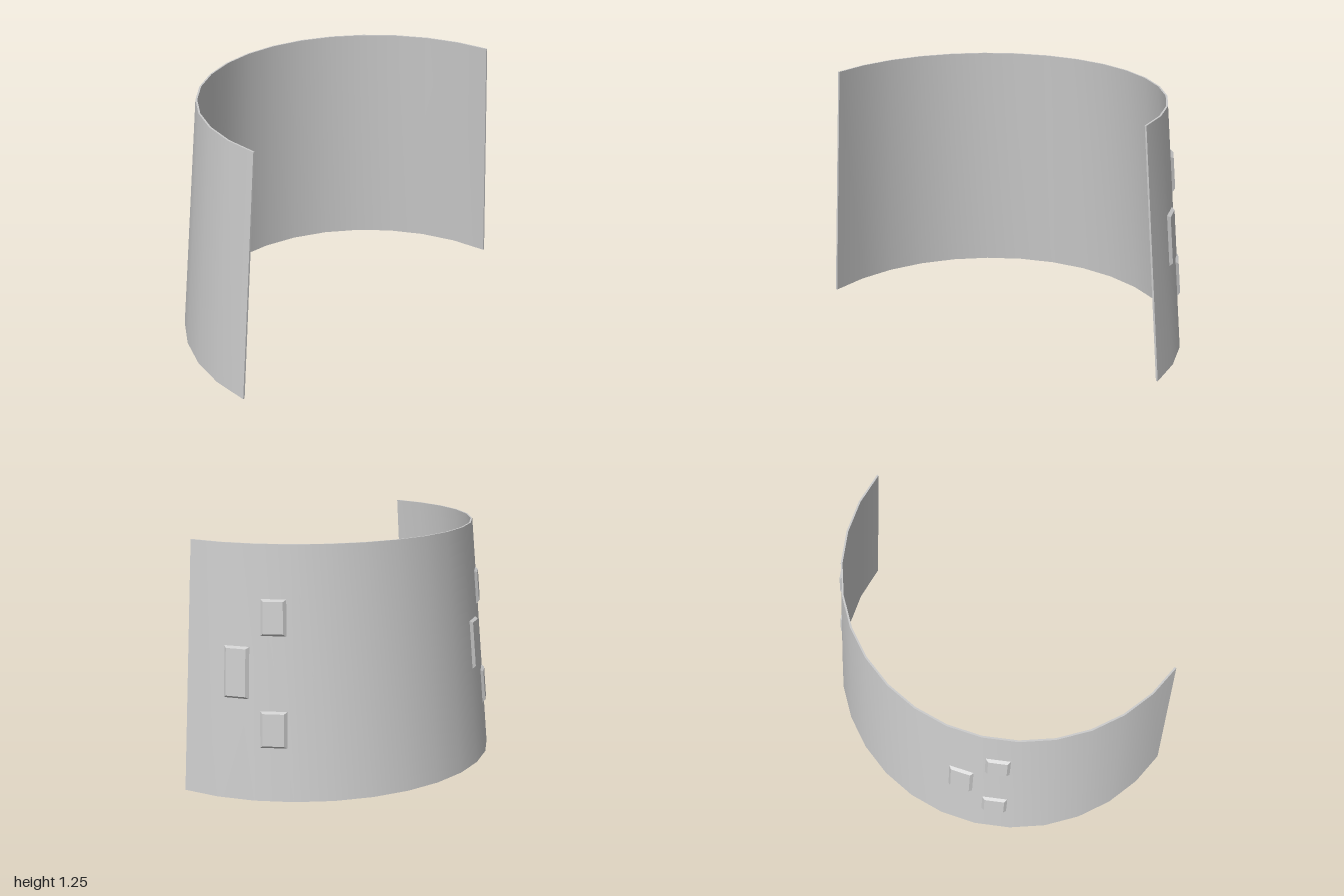
import * as THREE from 'three';
import { toCreasedNormals } from 'three/addons/utils/BufferGeometryUtils.js';

const HEIGHT = 1.25, WALL = 0.01, SIDES = 16, CENTRE_Z = 0.5;
const STEP = Math.PI / SIDES;
const taper = (y) => 1 - 0.08 * y;

const material = new THREE.MeshStandardMaterial({ color: 0xcccccc });

// Half-round thin wall that narrows toward the top
function createWall() {
  const outer = [], inner = [];
  for (let i = 0; i <= SIDES; i++) {
    const c = Math.cos(i * STEP), s = Math.sin(i * STEP);
    outer.push(new THREE.Vector2(c, s));
    inner.unshift(new THREE.Vector2(c * (1 - WALL), s * (1 - WALL)));
  }
  const shape = new THREE.Shape([...outer, ...inner]);
  const geo = new THREE.ExtrudeGeometry(shape, { depth: HEIGHT, bevelEnabled: false });
  geo.rotateX(-Math.PI / 2);
  const p = geo.attributes.position;
  for (let i = 0; i < p.count; i++) {
    const k = taper(p.getY(i));
    p.setX(i, p.getX(i) * k);
    p.setZ(i, p.getZ(i) * k);
  }
  const wall = new THREE.Mesh(toCreasedNormals(geo, Math.PI / 8), material);
  wall.name = 'curvedWall';
  return wall;
}

// Raised brick with sloped edges, its base sunk slightly into the wall
function createBrick(width, height) {
  const raise = 0.015, sink = 0.003;
  const geo = new THREE.BoxGeometry(width, height, raise + sink);
  geo.translate(0, 0, (raise - sink) / 2);
  const p = geo.attributes.position;
  for (let i = 0; i < p.count; i++) {
    if (p.getZ(i) < 0) continue;
    p.setX(i, p.getX(i) - Math.sign(p.getX(i)) * 0.017);
    p.setY(i, p.getY(i) - Math.sign(p.getY(i)) * 0.013);
  }
  geo.computeVertexNormals();
  return new THREE.Mesh(geo, material);
}

// Three bricks, each centred on one flat of the wall
function createBrickCluster(firstSide) {
  const cluster = new THREE.Group();
  const bricks = [
    { name: 'upperBrick', side: 2, y: 0.9, w: 0.131, h: 0.182 },
    { name: 'middleBrick', side: 1, y: 0.628, w: 0.136, h: 0.26 },
    { name: 'lowerBrick', side: 2, y: 0.355, w: 0.139, h: 0.185 },
  ];
  for (const { name, side, y, w, h } of bricks) {
    const angle = (firstSide + side + 0.5) * STEP;
    const r = Math.cos(STEP / 2) * taper(y);
    const brick = createBrick(w, h);
    brick.name = name;
    brick.position.set(r * Math.cos(angle), y, -r * Math.sin(angle));
    brick.rotation.set(-Math.atan(0.08), angle + Math.PI / 2, 0, 'YXZ');
    cluster.add(brick);
  }
  return cluster;
}

export function createModel() {
  const model = new THREE.Group();
  model.name = 'curvedBrickWall';
  const body = new THREE.Group();
  body.name = 'wallBody';
  body.position.z = CENTRE_Z;
  body.add(createWall());

  // One cluster on the left side, the same turned a quarter circle to the back
  const leftBricks = createBrickCluster(0);
  leftBricks.name = 'leftBricks';
  const backBricks = createBrickCluster(SIDES / 2);
  backBricks.name = 'backBricks';
  body.add(leftBricks, backBricks);

  model.add(body);
  return model;
}
